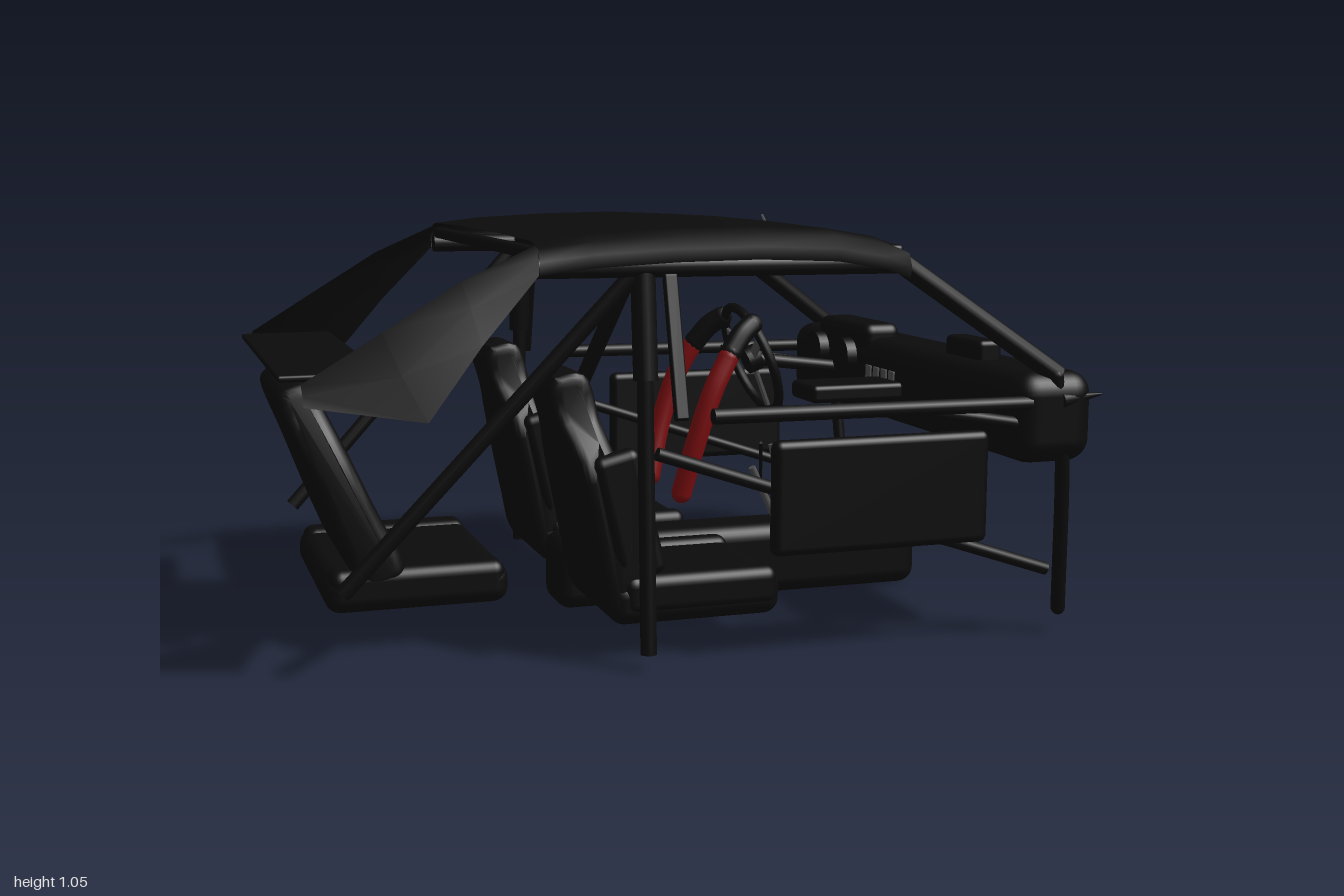
import * as THREE from 'three';
import { toCreasedNormals } from 'three/addons/utils/BufferGeometryUtils.js';
import { RoundedBoxGeometry } from 'three/addons/geometries/RoundedBoxGeometry.js';

export function createModel() {
  const model = new THREE.Group();
  model.name = 'carInterior';
  const mat = (name, color, side = THREE.FrontSide) => {
    const m = new THREE.MeshStandardMaterial({ color, side });
    m.name = name;
    return m;
  };
  const black = mat('black trim', 0x0b0b0b, THREE.DoubleSide);
  const red = mat('red sleeve', 0x7d0e10);
  const grey = mat('grey metal', 0x505050);
  const V = (p) => new THREE.Vector3(...p);

  const add = (name, geo, m = black, parent = model) => {
    const mesh = new THREE.Mesh(geo, m);
    mesh.name = name;
    parent.add(mesh);
    return mesh;
  };
  // Rounded box given by its centre and size
  const box = (name, c, s, r = 0.02, m = black) => {
    const mesh = add(name, new RoundedBoxGeometry(...s, 4, r), m);
    mesh.position.set(...c);
    return mesh;
  };
  // Straight capped bar between two points
  const bar = (name, a, b, r = 0.018, m = black, r2 = r) => {
    const d = V(b).sub(V(a));
    const mesh = add(name, new THREE.CylinderGeometry(r2, r, d.length(), 12), m);
    mesh.position.copy(V(a).add(V(b)).multiplyScalar(0.5));
    mesh.quaternion.setFromUnitVectors(new THREE.Vector3(0, 1, 0), d.normalize());
    return mesh;
  };
  // Bent tube through several points, with rounded ends
  const tube = (name, pts, r, m = black) => {
    const v = pts.map(V);
    const mesh = add(name, new THREE.TubeGeometry(new THREE.CatmullRomCurve3(v), 24, r, 12), m);
    for (const p of [v[0], v[v.length - 1]]) {
      add(name + 'End', new THREE.SphereGeometry(r, 12, 8), m, mesh).position.copy(p);
    }
  };
  // Side profile (x, y) spread across z, optionally narrowed with height
  const profile = (name, pts, z, width, bevel, narrow = () => 1) => {
    const shape = new THREE.Shape(new THREE.SplineCurve(
      [...pts, pts[0]].map((p) => new THREE.Vector2(...p))).getPoints(40));
    const geo = new THREE.ExtrudeGeometry(shape, {
      depth: width - 2 * bevel, bevelSize: bevel, bevelThickness: bevel, bevelOffset: -bevel, bevelSegments: 4,
    });
    geo.translate(0, 0, bevel - width / 2);
    const p = geo.attributes.position;
    for (let i = 0; i < p.count; i++) p.setZ(i, p.getZ(i) * narrow(p.getY(i)));
    add(name, toCreasedNormals(geo, 0.7)).position.z = z;
  };
  // Open surface through rows of points
  const sheet = (name, rows) => {
    const n = rows[0].length, index = [];
    for (let i = 0; i < rows.length - 1; i++) {
      for (let j = 0; j < n - 1; j++) {
        const a = i * n + j;
        index.push(a, a + n, a + 1, a + 1, a + n, a + n + 1);
      }
    }
    const geo = new THREE.BufferGeometry();
    geo.setAttribute('position', new THREE.Float32BufferAttribute(rows.flat(2), 3));
    geo.setIndex(index);
    geo.computeVertexNormals();
    add(name, geo);
  };

  // Roof lining: arched along its length, rolled down at both sides
  const section = [[-0.655, -0.075], [-0.66, -0.045], [-0.645, -0.015], [-0.58, 0], [-0.2, 0.005]];
  const across = [...section, ...section.map(([z, y]) => [-z, y]).reverse()];
  const arch = [[-0.43, 1.025], [-0.3, 1.04], [-0.1, 1.05], [0.1, 1.053], [0.3, 1.045], [0.42, 1.025], [0.49, 1.0]];
  sheet('roof', arch.map(([x, y]) => across.map(([z, dy]) => [x, y + dy, z])));
  box('roofHeader', [0.46, 0.99, 0], [0.06, 0.03, 1.24], 0.012);
  box('roofRearEdge', [-0.41, 0.995, 0], [0.04, 0.03, 1.24], 0.012);
  box('mirror', [0.43, 0.965, -0.12], [0.03, 0.035, 0.16], 0.012);
  bar('aerial', [0.44, 1.0, -0.12], [0.45, 1.05, -0.21], 0.004, grey);

  for (const s of [-1, 1]) {
    // Rear quarter panels
    sheet('quarterPanel', [
      [[-0.42, 1.02, 0.61 * s], [-0.43, 0.99, 0.65 * s], [-0.43, 0.95, 0.65 * s]],
      [[-0.6, 0.94, 0.62 * s], [-0.59, 0.88, 0.67 * s], [-0.57, 0.8, 0.69 * s]],
      [[-0.78, 0.83, 0.62 * s], [-0.75, 0.74, 0.69 * s], [-0.7, 0.64, 0.73 * s]],
      [[-0.96, 0.72, 0.61 * s], [-0.96, 0.7, 0.64 * s], [-0.96, 0.675, 0.655 * s]],
    ]);
    // Roll cage side
    bar('roofRail', [-0.43, 0.965, 0.61 * s], [0.49, 0.96, 0.61 * s], 0.025);
    bar('frontPillar', [0.48, 0.965, 0.61 * s], [0.88, 0.68, 0.69 * s], 0.026);
    tube('frontLeg', [[0.87, 0.68, 0.7 * s], [0.9, 0.5, 0.69 * s], [0.93, 0.075, 0.65 * s]], 0.018);
    bar('mainPost', [-0.17, 0.97, 0.6 * s], [-0.17, 0.7, 0.625 * s], 0.03);
    bar('mainPostLower', [-0.17, 0.72, 0.62 * s], [-0.17, 0.05, 0.65 * s], 0.02);
    bar('rearStay', [-0.87, 0.22, 0.53 * s], [-0.19, 0.95, 0.6 * s], 0.02);
    bar('doorBrace', [-0.15, 0.53, 0.65 * s], [0.89, 0.18, 0.65 * s], 0.016);
    bar('doorRail', [-0.03, 0.62, 0.7 * s], [0.8, 0.615, 0.7 * s], 0.019);
    bar('dashStay', [0.5, 0.61, 0.68 * s], [0.8, 0.56, 0.68 * s], 0.016);
    const strip = box('pillarTrim', [-0.122, 0.785, 0.7 * s], [0.034, 0.34, 0.02], 0.006);
    strip.rotation.x = -0.27 * s;
    // Door cards and dash corner tips
    box('doorCard', [0.415, 0.41, 0.67 * s], [0.57, 0.28, 0.045], 0.02);
    bar('dashCornerTip', [0.88, 0.62, 0.71 * s], [1.0, 0.63, 0.7 * s], 0.02, black, 0.003);

    // Front seats
    profile('frontSeatBack', [[-0.34, 0.69], [-0.26, 0.69], [-0.22, 0.55], [-0.15, 0.3], [-0.12, 0.17],
      [-0.22, 0.11], [-0.26, 0.25], [-0.31, 0.5], [-0.355, 0.64]], 0.35 * s, 0.4, 0.03,
    (y) => 1 - 0.5 * THREE.MathUtils.smoothstep(y, 0.46, 0.62));
    box('frontSeatCushion', [-0.01, 0.145, 0.35 * s], [0.44, 0.11, 0.41], 0.04);
    for (const t of [-1, 1]) {
      box('frontSeatBolster', [0, 0.165, (0.35 + 0.175 * t) * s], [0.4, 0.1, 0.07], 0.03);
      const wing = box('frontSeatWing', [-0.18, 0.36, (0.35 + 0.17 * t) * s], [0.12, 0.32, 0.06], 0.025);
      wing.rotation.z = 0.24;
    }
    box('rearSeatBolster', [-0.65, 0.17, 0.25 * s], [0.44, 0.09, 0.1], 0.03);
  }
  bar('frontHoopTop', [0.45, 0.975, -0.61], [0.45, 0.975, 0.61], 0.018);
  bar('mainHoopTop', [-0.17, 0.975, -0.61], [-0.17, 0.975, 0.61], 0.02);
  bar('crossBrace', [-0.18, 0.98, 0.58], [-0.18, 0.1, -0.61], 0.02);

  // Rear bench and parcel shelf
  profile('rearSeatBack', [[-0.96, 0.66], [-0.9, 0.67], [-0.86, 0.6], [-0.75, 0.36], [-0.68, 0.2],
    [-0.78, 0.16], [-0.84, 0.27], [-0.92, 0.48], [-0.975, 0.62]], 0, 0.6, 0.03,
  (y) => 1 - 0.2 * THREE.MathUtils.smoothstep(y, 0.45, 0.66));
  box('rearSeatCushion', [-0.65, 0.155, 0], [0.46, 0.1, 0.6], 0.04);
  box('parcelShelf', [-0.877, 0.718, 0], [0.245, 0.016, 0.98], 0.007);

  // Centre tunnel with levers
  box('centreTunnel', [0.29, 0.11, 0], [1.06, 0.2, 0.17], 0.045);
  bar('gearLever', [0.45, 0.2, 0], [0.4, 0.42, 0], 0.008, grey);
  bar('handBrake', [0.4, 0.2, 0.06], [0.32, 0.37, 0.06], 0.01, grey);

  // Dashboard
  box('dashboard', [0.87, 0.575, 0], [0.22, 0.23, 1.44], 0.06);
  box('dashTopPad', [0.845, 0.7, 0.325], [0.07, 0.08, 0.19], 0.015);
  box('instrumentHood', [0.82, 0.69, -0.34], [0.12, 0.08, 0.34], 0.03);
  box('centreStack', [0.63, 0.565, 0], [0.28, 0.05, 0.16], 0.015);
  for (const z of [-0.45, -0.25]) {
    const dial = add('dial', new THREE.CylinderGeometry(0.055, 0.055, 0.03, 24));
    dial.position.set(0.735, 0.63, z);
    dial.rotation.z = Math.PI / 2;
  }
  for (let i = 0; i < 4; i++) {
    box('switchPlate', [0.757, 0.59, -0.13 + i * 0.05], [0.008, 0.05, 0.03], 0.002, grey);
  }

  // Steering wheel, tilted towards the driver
  const wheel = new THREE.Group();
  wheel.name = 'steeringWheel';
  wheel.position.set(0.475, 0.62, -0.345);
  wheel.rotation.z = 0.36;
  model.add(wheel);
  add('rim', new THREE.TorusGeometry(0.165, 0.014, 10, 40), black, wheel).rotation.y = Math.PI / 2;
  add('hub', new THREE.CylinderGeometry(0.04, 0.04, 0.04, 20), black, wheel).rotation.z = Math.PI / 2;
  for (const a of [0, 2.1, -2.1]) {
    const spoke = add('spoke', new THREE.BoxGeometry(0.008, 0.15, 0.025), grey, wheel);
    spoke.rotation.x = a + Math.PI;
    spoke.position.set(0, -0.085 * Math.cos(a), -0.085 * Math.sin(a));
  }
  bar('steeringColumn', [0.48, 0.62, -0.345], [0.8, 0.58, -0.345], 0.02);

  // Driver's sleeves and gloves
  for (const s of [-1, 1]) {
    const at = (x, y, w) => [x, y, -0.345 + w * s];
    tube('sleeve', [at(0.205, 0.255, 0.145), at(0.24, 0.4, 0.165), at(0.29, 0.55, 0.17), at(0.34, 0.645, 0.16)], 0.03, red);
    tube('glove', [at(0.35, 0.66, 0.155), at(0.39, 0.71, 0.14), at(0.425, 0.735, 0.125)], 0.032);
  }
  bar('pedalRod', [0.53, 0.21, -0.4], [0.47, 0.38, -0.25], 0.005);

  return model;
}
